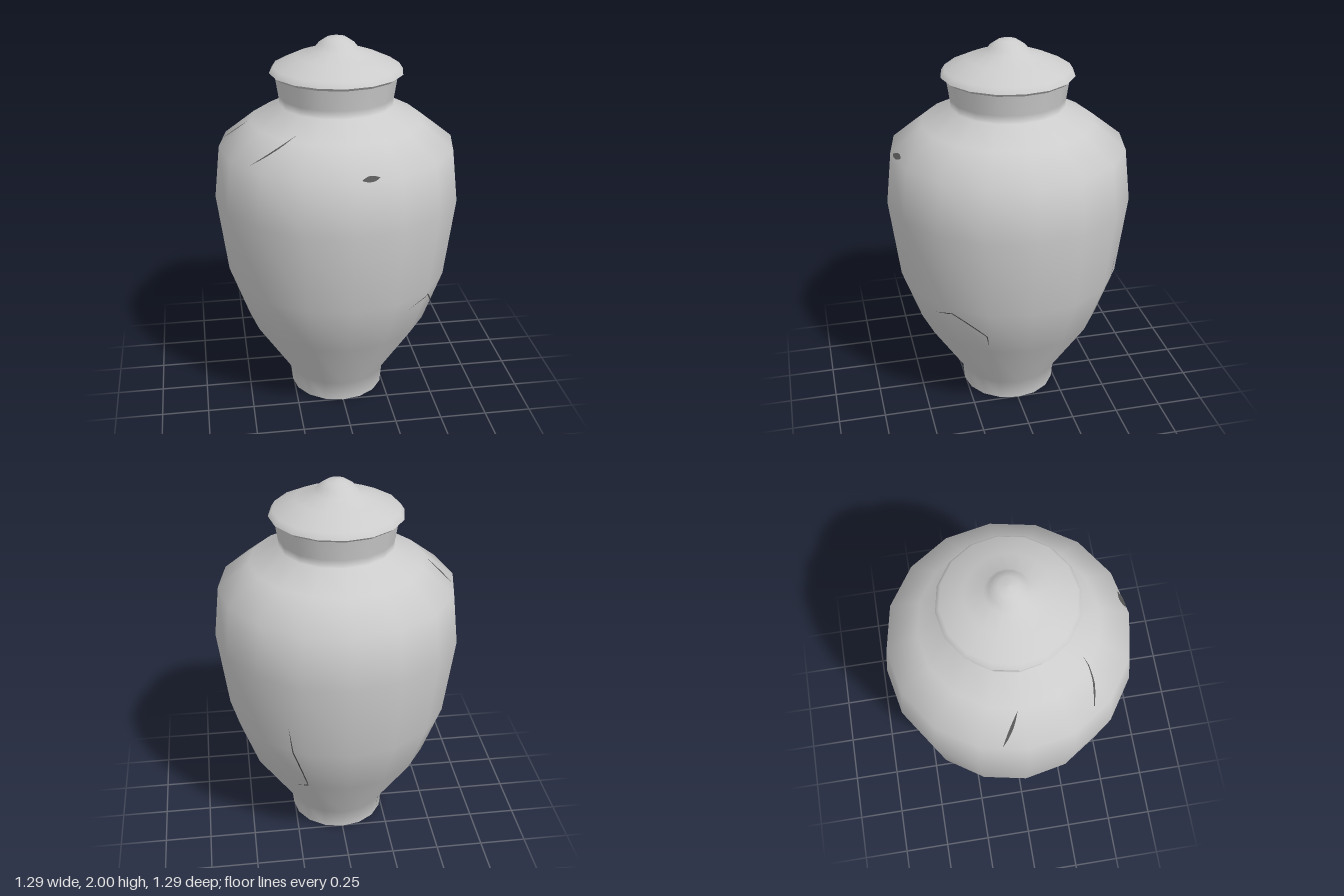
import * as THREE from 'three';

const SIDES = 16;
const grey = new THREE.MeshStandardMaterial({ color: 0xcccccc, side: THREE.DoubleSide });
const dark = new THREE.MeshStandardMaterial({ color: 0x555555, side: THREE.DoubleSide });

// [radius, height] from foot to the top of the neck
const BODY = [[0.255, 0], [0.265, 0.11], [0.488, 0.455], [0.59, 0.74], [0.645, 1.17],
  [0.615, 1.445], [0.45, 1.575], [0.295, 1.655], [0.3, 1.7], [0.318, 1.815]];

// Underside lip, then the dome with its knob
const LID_UNDER = [[0.295, 1.81], [0.325, 1.806], [0.345, 1.822]];
const LID_DOME = [[0.345, 1.822], [0.325, 1.852], [0.21, 1.905], [0.115, 1.937],
  [0.09, 1.968], [0.05, 1.994], [0, 2]];

function lathe(name, profile) {
  const points = profile.map(([r, y]) => new THREE.Vector2(r, y));
  const mesh = new THREE.Mesh(new THREE.LatheGeometry(points, SIDES), grey);
  mesh.name = name;
  return mesh;
}

// Point on the faceted body wall at angle t (0 = front) and height y
function onBody(t, y) {
  let i = 0;
  while (i < BODY.length - 2 && y > BODY[i + 1][1]) i++;
  const [[r0, y0], [r1, y1]] = [BODY[i], BODY[i + 1]];
  const r = THREE.MathUtils.mapLinear(y, y0, y1, r0, r1);
  const step = (2 * Math.PI) / SIDES;
  const local = THREE.MathUtils.euclideanModulo(t, step) - step / 2;
  const wall = (r * Math.cos(step / 2)) / Math.cos(local) + 0.003;
  return [wall * Math.sin(t), y, wall * Math.cos(t)];
}

// Tapered hairline following a path of [angle, height] over the body
function crack(name, path, width) {
  const positions = [], index = [], perLeg = 12;
  const count = (path.length - 1) * perLeg;
  for (let k = 0; k <= count; k++) {
    const leg = Math.min(Math.floor(k / perLeg), path.length - 2);
    const f = k / perLeg - leg;
    const [t0, y0] = path[leg], [t1, y1] = path[leg + 1];
    const t = t0 + (t1 - t0) * f, y = y0 + (y1 - y0) * f;
    // widen across the direction of the leg, closing to a point at the ends
    const dx = (t1 - t0) * 0.5, dy = y1 - y0, len = Math.hypot(dx, dy);
    const half = (width / 2) * Math.sin((Math.PI * k) / count);
    const st = (-dy / len) * half * 2, sy = (dx / len) * half;
    positions.push(...onBody(t + st, y + sy), ...onBody(t - st, y - sy));
    if (k < count) index.push(2 * k, 2 * k + 2, 2 * k + 1, 2 * k + 1, 2 * k + 2, 2 * k + 3);
  }
  const geometry = new THREE.BufferGeometry();
  geometry.setAttribute('position', new THREE.Float32BufferAttribute(positions, 3));
  geometry.setIndex(index);
  geometry.computeVertexNormals();
  const mesh = new THREE.Mesh(geometry, dark);
  mesh.name = name;
  return mesh;
}

export function createModel() {
  const urn = new THREE.Group();
  urn.name = 'urn';

  // Vessel and its flat base
  urn.add(lathe('body', BODY));
  const base = new THREE.Mesh(new THREE.CircleGeometry(BODY[0][0], SIDES), grey);
  base.rotation.x = Math.PI / 2;
  base.name = 'base';
  urn.add(base);

  // Lid, with a sharp edge at the rim
  const lid = new THREE.Group();
  lid.name = 'lid';
  lid.add(lathe('lidUnderside', LID_UNDER), lathe('lidDome', LID_DOME));
  urn.add(lid);

  // Fracture lines where the vessel has been mended
  const cracks = new THREE.Group();
  cracks.name = 'cracks';
  cracks.add(
    crack('frontChip', [[0.05, 1.452], [0.21, 1.456]], 0.022),
    crack('frontLeftCrack', [[0.59, 0.66], [0.82, 0.71], [1.14, 0.58], [1.15, 0.5]], 0.008),
    crack('backLeftCrack', [[2.6, 0.9], [2.62, 0.72], [2.7, 0.47], [2.55, 0.43]], 0.008),
    crack('shoulderCrackBack', [[-1.78, 1.45], [-1.64, 1.57]], 0.014),
    crack('shoulderCrackFront', [[-0.95, 1.46], [-0.64, 1.6]], 0.008),
    crack('footCrack', [[-2.15, 0.005], [-2.15, 0.1], [-1.85, 0.33], [-1.65, 0.5]], 0.009)
  );
  urn.add(cracks);
  return urn;
}
